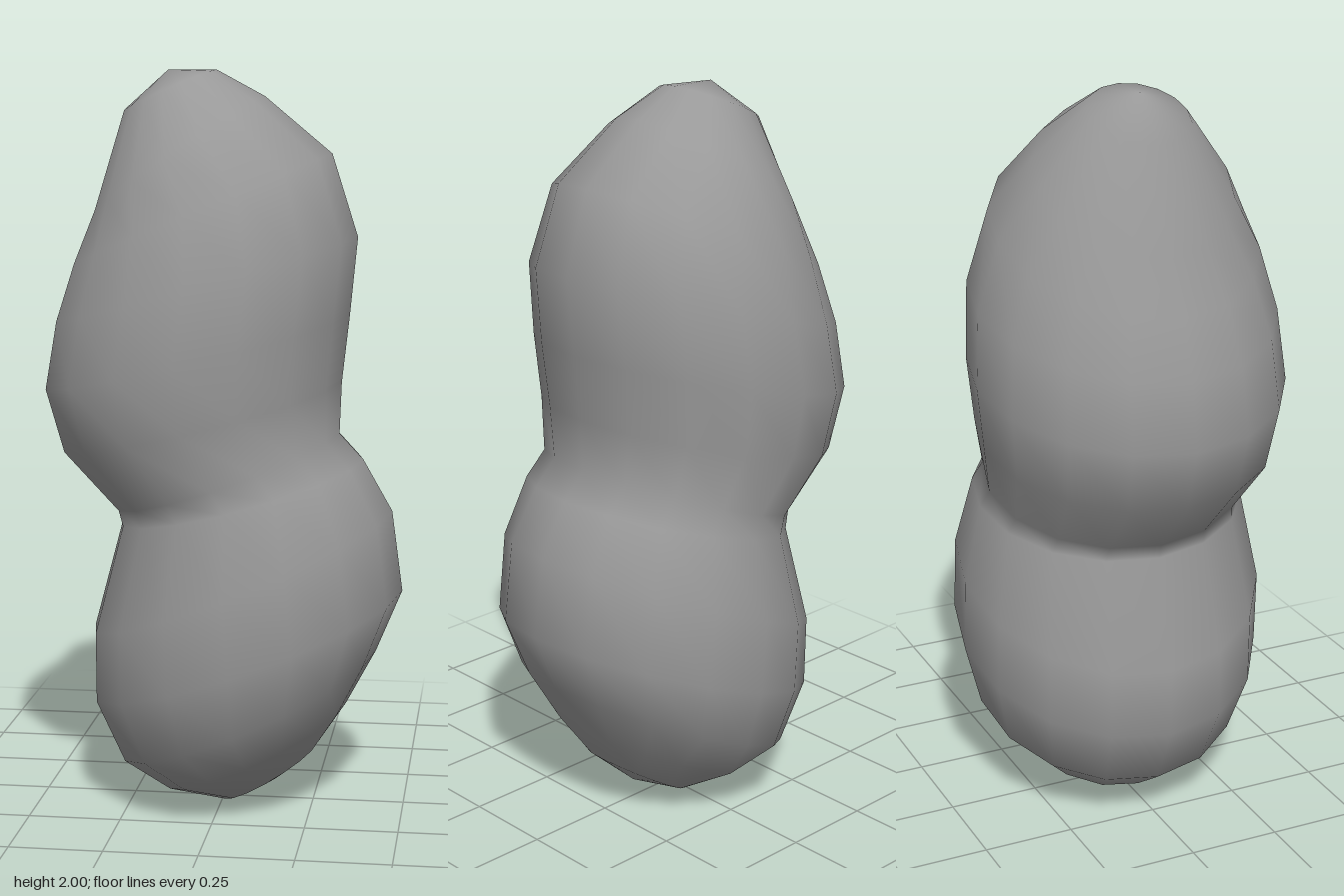
import * as THREE from 'three';

const SIDES = 16;

// Tilted rings from top to bottom: leftX, leftY, rightX, rightY, half depth
const RINGS = [
  [-0.27, 1.89, -0.02, 2.0, 0.135],
  [-0.35, 1.62, 0.11, 1.93, 0.265],
  [-0.41, 1.48, 0.29, 1.78, 0.355],
  [-0.46, 1.33, 0.36, 1.56, 0.41],
  [-0.49, 1.15, 0.34, 1.35, 0.427],
  [-0.44, 0.98, 0.32, 1.17, 0.405],
  [-0.29, 0.82, 0.315, 1.03, 0.365],
  [-0.28, 0.78, 0.38, 0.96, 0.378],
  [-0.36, 0.48, 0.46, 0.82, 0.425],
  [-0.36, 0.29, 0.49, 0.60, 0.425],
  [-0.28, 0.12, 0.42, 0.43, 0.38],
  [-0.155, 0.035, 0.34, 0.28, 0.265],
  [0, 0, 0.26, 0.16, 0.14],
];

// Skin a stack of elliptical rings, closed by a point at each end
function skin(rings, top, bottom) {
  const positions = [];
  const index = [];
  for (const [lx, ly, rx, ry, depth] of rings) {
    for (let j = 0; j < SIDES; j++) {
      const t = (j / SIDES) * Math.PI * 2;
      const k = (1 + Math.cos(t)) / 2;
      positions.push(lx + (rx - lx) * k, ly + (ry - ly) * k, depth * Math.sin(t));
    }
  }
  const topId = rings.length * SIDES;
  positions.push(...top, ...bottom);
  const last = (rings.length - 1) * SIDES;
  for (let j = 0; j < SIDES; j++) {
    const n = (j + 1) % SIDES;
    for (let i = 0; i < last; i += SIDES) {
      const a = i + j, b = i + n, c = b + SIDES, d = a + SIDES;
      index.push(a, b, d, b, c, d);
    }
    index.push(topId, n, j, topId + 1, last + j, last + n);
  }
  const geometry = new THREE.BufferGeometry();
  geometry.setAttribute('position', new THREE.Float32BufferAttribute(positions, 3));
  geometry.setIndex(index);
  geometry.computeVertexNormals();
  return geometry;
}

export function createModel() {
  const group = new THREE.Group();
  group.name = 'peanut';
  // Two-lobed shell with a slanted waist
  const shell = new THREE.Mesh(
    skin(RINGS, [-0.15, 2.0, 0], [0.14, 0.05, 0]),
    new THREE.MeshStandardMaterial({ color: 0x999999 })
  );
  shell.name = 'shell';
  group.add(shell);
  return group;
}
